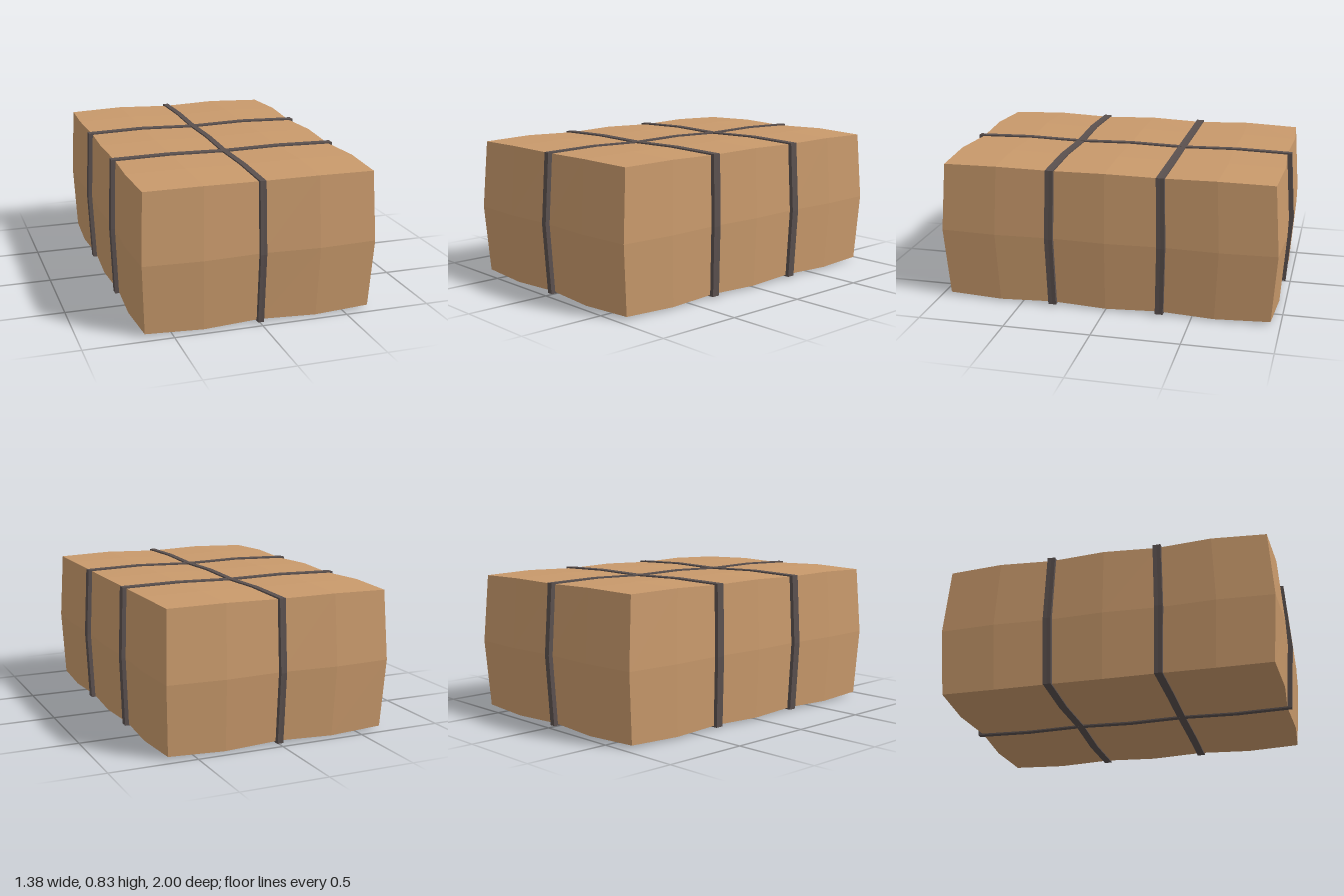
import * as THREE from 'three';

const HALF = { x: 0.65, y: 0.396, z: 0.945 };

// 1 at the crown of each pillow between straps, 0 at straps and edges
function pillow(t, half, cells) {
  const u = Math.min(Math.abs(t) / half, 1) * cells / 2 + cells / 2;
  return 1 - Math.abs((u % 1) * 2 - 1);
}

// Bulges a box outwards between the straps and at mid height
function bulge(geometry) {
  const p = geometry.attributes.position;
  for (let i = 0; i < p.count; i++) {
    const x = p.getX(i), y = p.getY(i), z = p.getZ(i);
    const px = pillow(x, HALF.x, 2);
    const pz = pillow(z, HALF.z, 3);
    const py = 1 - Math.min(Math.abs(y) / HALF.y, 1);
    p.setXYZ(i,
      x * (1 + 0.023 * pz + 0.025 * py),
      y * (1 + 0.02 * px + 0.02 * pz),
      z * (1 + 0.02 * px + 0.03 * py));
  }
  geometry.computeVertexNormals();
  return geometry;
}

export function createModel() {
  const model = new THREE.Group();
  model.name = 'strappedBale';
  const wrap = new THREE.MeshStandardMaterial({ color: 0xc8996b, flatShading: true });
  wrap.name = 'tan wrapping';
  const band = new THREE.MeshStandardMaterial({ color: 0x5a504e, flatShading: true });
  band.name = 'dark strap';

  function addPart(name, geometry, material) {
    const mesh = new THREE.Mesh(bulge(geometry), material);
    mesh.name = name;
    mesh.position.y = 0.4125;
    model.add(mesh);
  }

  // Bale body
  addPart('bale', new THREE.BoxGeometry(HALF.x * 2, HALF.y * 2, HALF.z * 2, 4, 2, 6), wrap);

  // Strap running front to back
  addPart('longStrap', new THREE.BoxGeometry(0.034, 0.808, 1.942, 2, 2, 6), band);

  // Two straps running side to side
  for (const [name, side] of [['frontCrossStrap', 1], ['backCrossStrap', -1]]) {
    const strap = new THREE.BoxGeometry(1.346, 0.807, 0.046, 4, 2, 2);
    addPart(name, strap.translate(0, 0, side * HALF.z / 3), band);
  }
  return model;
}
